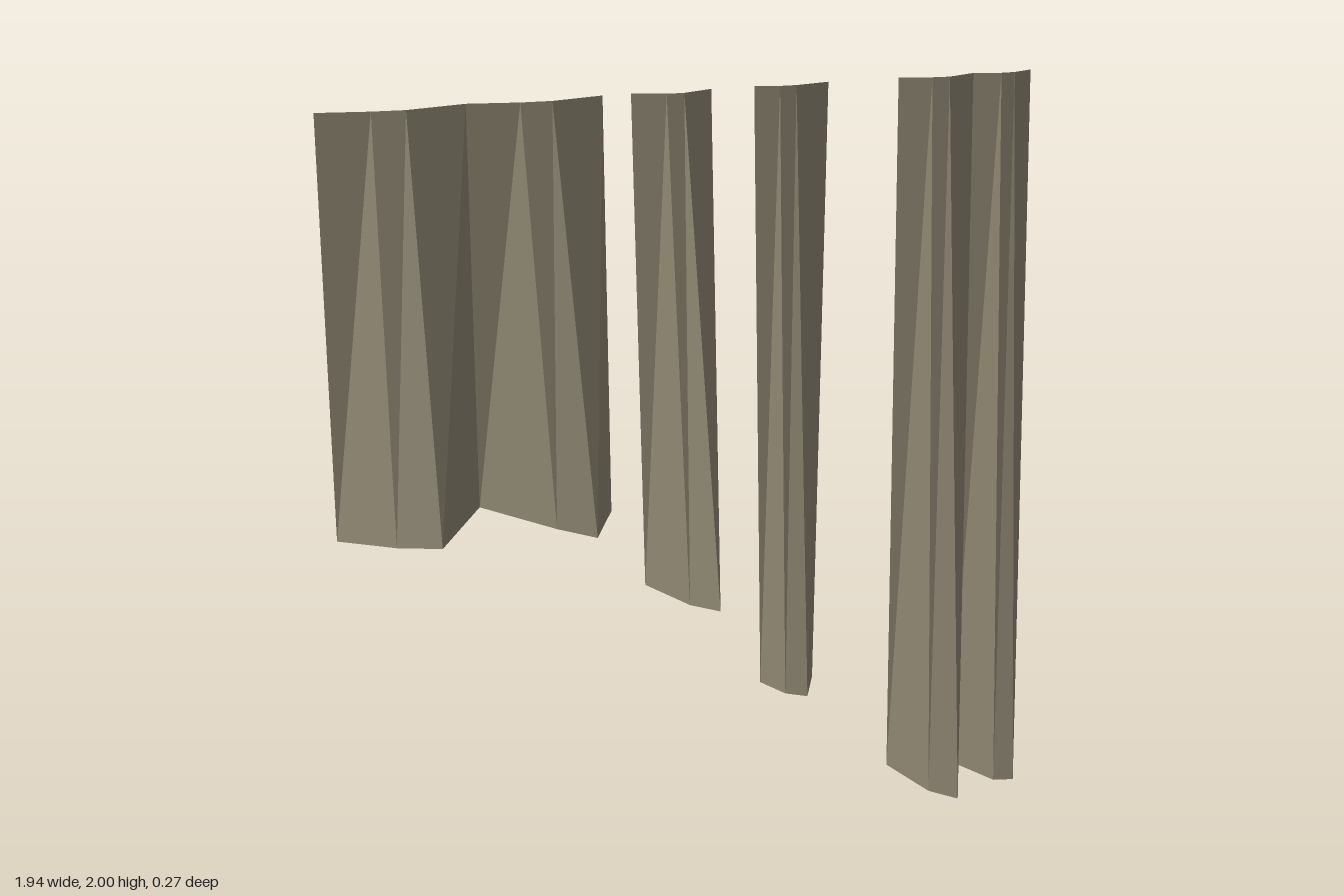
import * as THREE from 'three';

const TOP = 2;

// Each fold line: [top x, top z, bottom x, bottom y, bottom z]
const strips = {
  wideStrip: [
    [-0.97, -0.137, -0.975, 0.935, -0.118],
    [-0.84, -0.106, -0.868, 0.962, 0.06],
    [-0.757, -0.097, -0.772, 0.97, 0.13],
    [-0.598, -0.137, -0.598, 0.97, -0.137],
    [-0.47, -0.106, -0.453, 0.952, 0.05],
    [-0.39, -0.1, -0.365, 0.935, 0.106],
    [-0.247, -0.137, -0.247, 0.92, -0.118],
  ],
  shortStrip: [
    [-0.172, -0.137, -0.15, 0.695, -0.13],
    [-0.09, -0.103, -0.1, 0.7, 0.065],
    [-0.044, -0.1, -0.044, 0.7, 0.137],
    [0.044, -0.137, 0.022, 0.693, -0.13],
  ],
  narrowStrip: [
    [0.162, -0.137, 0.187, 0.358, -0.13],
    [0.225, -0.117, 0.217, 0.36, -0.028],
    [0.27, -0.115, 0.267, 0.358, 0.008],
    [0.37, -0.137, 0.345, 0.35, -0.13],
  ],
  longStrip: [
    [0.572, -0.137, 0.583, 0.037, -0.125],
    [0.655, -0.106, 0.63, 0.022, 0.045],
    [0.703, -0.1, 0.692, 0.013, 0.104],
    [0.793, -0.137, 0.793, 0.006, -0.137],
    [0.863, -0.111, 0.857, 0, 0.013],
    [0.903, -0.111, 0.909, 0.002, 0.034],
    [0.966, -0.137, 0.953, 0.012, -0.125],
  ],
};

// Open pleated sheet joining neighbouring fold lines
function pleatedSheet(folds) {
  const positions = [];
  for (let i = 0; i < folds.length - 1; i++) {
    const [a, b] = [folds[i], folds[i + 1]];
    const topA = [a[0], TOP, a[1]], topB = [b[0], TOP, b[1]];
    const lowA = a.slice(2), lowB = b.slice(2);
    positions.push(...lowA, ...lowB, ...topB, ...lowA, ...topB, ...topA);
  }
  const geometry = new THREE.BufferGeometry();
  geometry.setAttribute('position', new THREE.Float32BufferAttribute(positions, 3));
  geometry.computeVertexNormals(); // unshared corners keep the folds crisp
  return geometry;
}

export function createModel() {
  const group = new THREE.Group();
  group.name = 'hangingStrips';
  const cloth = new THREE.MeshStandardMaterial({ color: 0x8e8672, side: THREE.DoubleSide, flatShading: true });
  cloth.name = 'dull khaki';

  for (const [name, folds] of Object.entries(strips)) {
    const mesh = new THREE.Mesh(pleatedSheet(folds), cloth);
    mesh.name = name;
    group.add(mesh);
  }
  return group;
}
